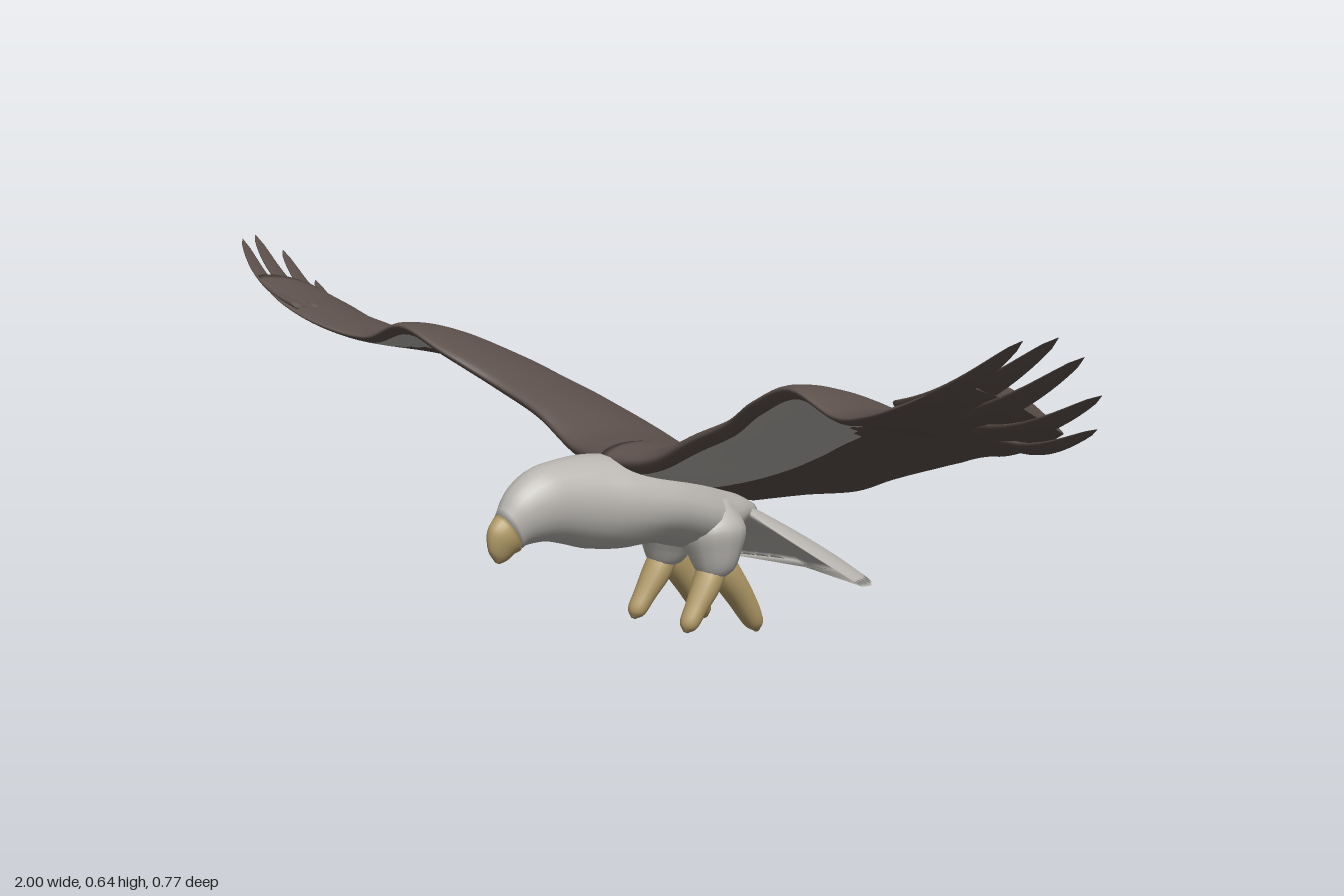
import * as THREE from 'three';

const mat = (name, color) => new THREE.MeshStandardMaterial({ name, color });
const V = (x, y, z) => new THREE.Vector3(x, y, z);
const { lerp, clamp, smoothstep } = THREE.MathUtils;

// Skin closed rings into a capped smooth solid; pick(i, j) chooses the material of each cell.
function loft(name, rings, mats, pick = () => 0) {
  const n = rings[0].length, m = rings.length;
  const pts = rings.flat();
  const faces = mats.map(() => []);
  for (let i = 0; i < m - 1; i++) for (let j = 0; j < n; j++) {
    const a = i * n + j, b = i * n + (j + 1) % n, c = a + n, d = b + n;
    faces[pick(i, j)].push([a, b, d], [a, d, c]);
  }
  [0, m - 1].forEach((i) => {
    const centre = pts.length;
    const mid = V(0, 0, 0);
    rings[i].forEach((p) => mid.addScaledVector(p, 1 / n));
    pts.push(mid);
    for (let j = 0; j < n; j++) {
      const a = i * n + j, b = i * n + (j + 1) % n;
      faces[pick(Math.min(i, m - 2), j)].push(i ? [a, b, centre] : [b, a, centre]);
    }
  });
  // Turn all faces outward
  let volume = 0;
  faces.flat().forEach(([a, b, c]) => { volume += pts[a].dot(V(0, 0, 0).crossVectors(pts[b], pts[c])); });
  const geo = new THREE.BufferGeometry().setFromPoints(pts);
  const index = [];
  faces.forEach((list, k) => {
    geo.addGroup(index.length, list.length * 3, k);
    list.forEach(([a, b, c]) => index.push(...(volume < 0 ? [a, c, b] : [a, b, c])));
  });
  geo.setIndex(index);
  geo.computeVertexNormals();
  const mesh = new THREE.Mesh(geo, mats.length > 1 ? mats : mats[0]);
  mesh.name = name;
  return mesh;
}

const curve = (points) => new THREE.CatmullRomCurve3(points, false, 'catmullrom', 0.5);

// Solid from slices given as [topZ, topY, bottomZ, bottomY, halfWidth]
function sliced(name, table, mats) {
  const top = curve(table.map((s) => V(s[4], s[1], s[0])));
  const bottom = curve(table.map((s) => V(s[4], s[3], s[2])));
  const count = (table.length - 1) * 4;
  const rings = [];
  for (let i = 0; i <= count; i++) {
    const a = top.getPoint(i / count), b = bottom.getPoint(i / count);
    rings.push(Array.from({ length: 24 }, (_, j) => {
      const t = (j / 24) * Math.PI * 2, k = (1 - Math.cos(t)) / 2;
      return V(a.x * Math.sin(t), lerp(a.y, b.y, k), lerp(a.z, b.z, k));
    }));
  }
  return loft(name, rings, mats);
}

// Wing edges by station: [x, leadZ, leadY, trailZ, trailY]
const WING = [
  [0, 0.15, 0.335, -0.21, 0.225], [0.1, 0.13, 0.345, -0.24, 0.245], [0.2, 0.125, 0.392, -0.265, 0.262],
  [0.3, 0.14, 0.432, -0.25, 0.298], [0.4, 0.178, 0.482, -0.23, 0.33], [0.5, 0.195, 0.518, -0.19, 0.36],
  [0.6, 0.2, 0.488, -0.14, 0.39], [0.7, 0.233, 0.505, -0.09, 0.412], [0.8, 0.25, 0.54, -0.04, 0.445],
  [0.88, 0.245, 0.58, 0.0, 0.478],
];
function wing(side, mats) {
  const lead = curve(WING.map((s) => V(s[0], s[2], s[1])));
  const trail = curve(WING.map((s) => V(s[0], s[4], s[3])));
  const N = 54, M = 64;
  const chord = (j) => (1 - Math.cos((j / M) * Math.PI * 2)) / 2;
  const rings = [], xs = [];
  for (let i = 0; i <= N; i++) {
    const a = lead.getPoint(i / N), b = trail.getPoint(i / N);
    xs.push(a.x);
    b.z += 0.008 * Math.abs(Math.sin(a.x * 30)) * smoothstep(a.x, 0.2, 0.5);
    const thick = a.x < 0.1 ? lerp(0.075, 0.06, a.x * 10) : lerp(0.06, 0.016, (a.x - 0.1) / 0.78);
    rings.push(Array.from({ length: M }, (_, j) => {
      const c = chord(j), up = j <= M / 2 ? 1 : -1;
      const half = thick / 2 * (2.6 * Math.sqrt(c) * (1 - c) + 0.12 * c);
      return V(side * a.x, lerp(a.y, b.y, c) + 0.02 * Math.sin(Math.PI * c) + up * half, lerp(a.z, b.z, c));
    }));
  }
  // Pale lining under the inner front of the wing
  return loft('wing', rings, mats, (i, j) => {
    const c = chord(j + 0.5), x = xs[i];
    const limit = x < 0.4 ? 0.57 : lerp(0.57, 0.06, clamp((x - 0.4) / 0.24, 0, 1));
    return j >= M / 2 && c > 0.05 && c < limit ? 1 : 0;
  });
}

// Wing tip feathers: [root], [tip], half width
const FEATHERS = [
  [[0.76, 0.522, 0.212], [0.975, 0.642, 0.215], 0.03],
  [[0.76, 0.515, 0.165], [1.0, 0.645, 0.17], 0.034],
  [[0.76, 0.495, 0.105], [0.997, 0.612, 0.11], 0.034],
  [[0.76, 0.47, 0.045], [0.98, 0.55, 0.048], 0.034],
  [[0.74, 0.447, -0.015], [0.925, 0.488, -0.012], 0.03],
];
function feather(side, [root, tip, width], mats) {
  const a = V(...root), b = V(...tip), rings = [];
  for (let i = 0; i <= 14; i++) {
    const t = i / 14, p = a.clone().lerp(b, t);
    p.y -= 0.018 * Math.sin(Math.PI * t);
    p.z += 0.014 * Math.sin(Math.PI * t);
    const w = width * Math.sqrt(1.001 - t ** 3) * (1 - 0.35 * t), h = 0.009 * (1.05 - t);
    rings.push(Array.from({ length: 14 }, (_, j) => {
      const q = (j / 14) * Math.PI * 2, dz = w * Math.cos(q);
      return V(side * p.x, p.y + dz * 0.42 + h * Math.sin(q), p.z + dz);
    }));
  }
  return loft('tipFeather', rings, mats);
}

// Fanned, slightly drooping tail with a notched rear edge
function tail(mats) {
  const rim = curve([V(0, 0, -0.358), V(0.06, 0, -0.384), V(0.12, 0, -0.37), V(0.172, 0, -0.335), V(0.19, 0, -0.29)]);
  const rings = [];
  for (let i = 0; i <= 16; i++) {
    const s = i / 16;
    rings.push(Array.from({ length: 48 }, (_, j) => {
      const q = (j / 48) * Math.PI * 2, a = Math.cos(q), e = rim.getPoint(Math.abs(a));
      const flare = Math.pow(s, 1.15), half = lerp(0.02, 0.003, s);
      const y = 0.228 - 0.125 * s - 0.022 * s ** 4 * (1 - a * a) - 0.018 * s * Math.abs(a);
      return V(lerp(0.045 * a, Math.sign(a) * e.x, flare), y + half * Math.sin(q), lerp(-0.13, e.z, s));
    }));
  }
  return loft('tail', rings, mats);
}

// Round tapered limb through points [x, y, z, radius]
function limb(name, side, points, mats) {
  const path = curve(points.map((p) => V(side * p[0], p[1], p[2])));
  const radius = curve(points.map((p) => V(p[3], 0, 0)));
  const rings = [];
  for (let i = 0; i <= 20; i++) {
    const t = i / 20, p = path.getPoint(t), d = path.getTangent(t), r = radius.getPoint(t).x;
    const u = V(1, 0, 0).cross(d).normalize(), v = d.clone().cross(u);
    rings.push(Array.from({ length: 14 }, (_, j) => {
      const q = (j / 14) * Math.PI * 2;
      return p.clone().addScaledVector(u, r * Math.cos(q)).addScaledVector(v, r * Math.sin(q));
    }));
  }
  return loft(name, rings, mats);
}

export function createModel() {
  const brown = mat('brown feathers', 0x5c504b);
  const pale = mat('pale feathers', 0xb8b5b0);
  const horn = mat('yellow horn', 0xb39c69);
  const model = new THREE.Group();
  model.name = 'eagle';

  // Head and body
  model.add(sliced('body', [
    [0.362, 0.272, 0.325, 0.207, 0.026], [0.335, 0.31, 0.31, 0.215, 0.038], [0.29, 0.338, 0.27, 0.215, 0.051],
    [0.24, 0.347, 0.23, 0.205, 0.06], [0.18, 0.35, 0.18, 0.19, 0.074], [0.12, 0.343, 0.12, 0.183, 0.092],
    [0.05, 0.325, 0.05, 0.183, 0.105], [-0.02, 0.3, -0.02, 0.165, 0.102], [-0.08, 0.275, -0.08, 0.155, 0.088],
    [-0.14, 0.25, -0.14, 0.185, 0.062], [-0.19, 0.225, -0.19, 0.195, 0.03],
  ], [pale]));

  // Hooked beak
  model.add(sliced('beak', [
    [0.369, 0.193, 0.362, 0.19, 0.003], [0.382, 0.215, 0.347, 0.194, 0.012],
    [0.381, 0.248, 0.334, 0.203, 0.021], [0.361, 0.273, 0.324, 0.206, 0.0265],
  ], [horn]));

  model.add(tail([pale]));

  for (const side of [1, -1]) {
    model.add(wing(side, [brown, pale]));
    FEATHERS.forEach((f) => model.add(feather(side, f, [brown])));

    // Thigh, then front and rear toes
    model.add(limb('thigh', side, [
      [0.05, 0.25, -0.06, 0.03], [0.055, 0.2, -0.06, 0.058], [0.062, 0.155, -0.058, 0.046],
      [0.065, 0.125, -0.054, 0.03], [0.065, 0.115, -0.054, 0.008],
    ], [pale]));
    model.add(limb('frontToe', side, [
      [0.063, 0.145, -0.06, 0.024], [0.065, 0.11, -0.04, 0.026], [0.067, 0.07, -0.012, 0.02],
      [0.068, 0.042, 0.007, 0.016], [0.068, 0.03, 0.014, 0.004],
    ], [horn]));
    model.add(limb('rearToe', side, [
      [0.063, 0.145, -0.07, 0.024], [0.065, 0.115, -0.085, 0.027], [0.066, 0.07, -0.118, 0.024],
      [0.067, 0.025, -0.147, 0.018], [0.067, 0.006, -0.156, 0.005],
    ], [horn]));
  }
  return model;
}
